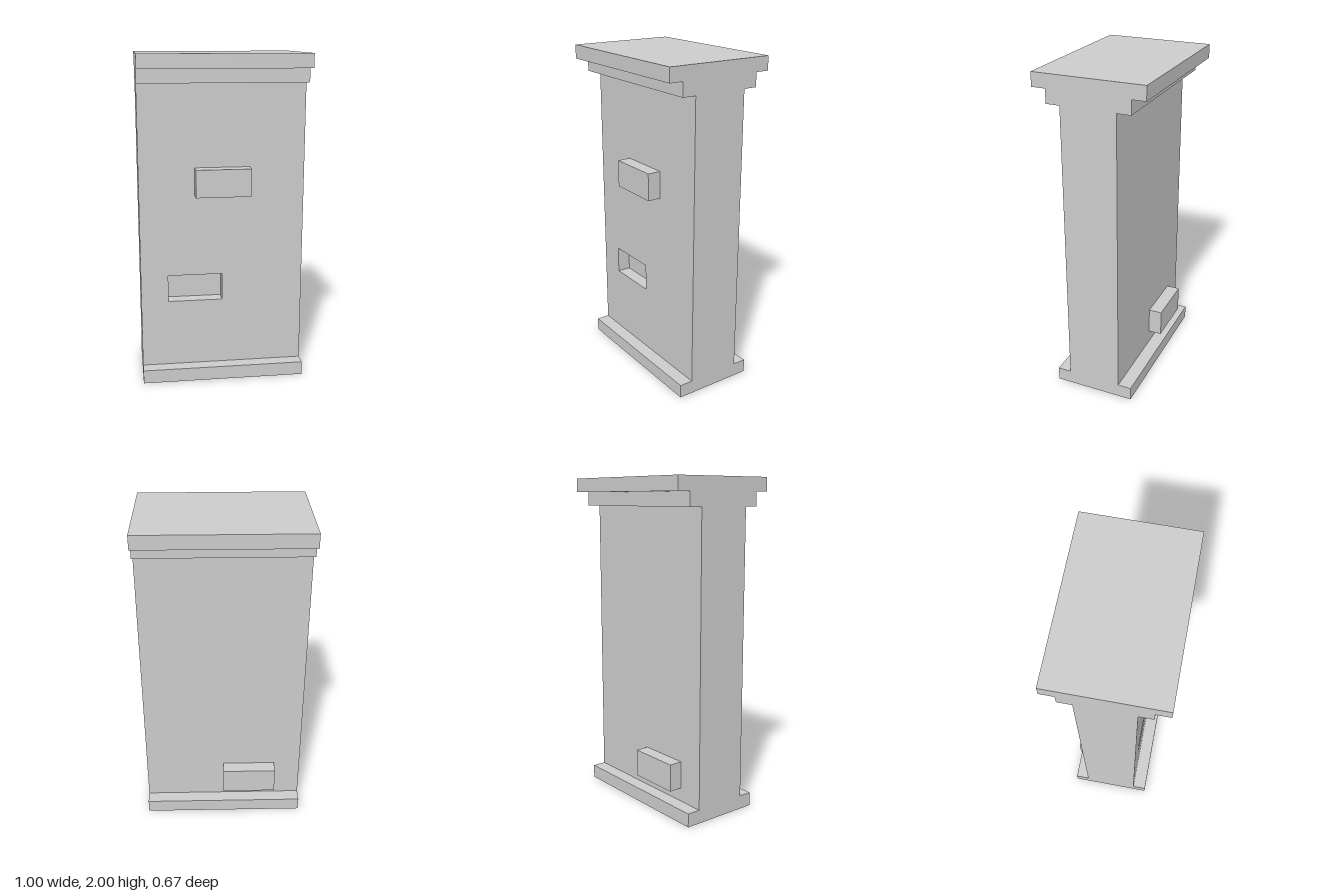
import * as THREE from 'three';

const U = 1 / 12; // module size: every part sits on this grid

export function createModel() {
  const group = new THREE.Group();
  const material = new THREE.MeshStandardMaterial({ color: 0xcccccc, flatShading: true });

  function add(name, geometry) {
    const mesh = new THREE.Mesh(geometry, material);
    mesh.name = name;
    group.add(mesh);
  }

  // Box given by its extents in grid units
  function block(name, [x0, x1], [y0, y1], [z0, z1]) {
    const geometry = new THREE.BoxGeometry((x1 - x0) * U, (y1 - y0) * U, (z1 - z0) * U);
    geometry.translate((x0 + x1) * U / 2, (y0 + y1) * U / 2, (z0 + z1) * U / 2);
    add(name, geometry);
  }

  function rectangle(path, x0, x1, y0, y1) {
    path.moveTo(x0 * U, y0 * U);
    path.lineTo(x1 * U, y0 * U);
    path.lineTo(x1 * U, y1 * U);
    path.lineTo(x0 * U, y1 * U);
    path.closePath();
    return path;
  }

  // Footing and stepped coping
  block('base', [-6, 6], [0, 1], [-3, 3]);
  block('lowerCoping', [-6, 6], [22, 23], [-3, 3]);
  block('upperCoping', [-6, 6], [23, 24], [-4, 4]);

  // Wall: solid rear part and a front layer with a brick-sized recess
  block('wallCore', [-6, 6], [1, 22], [-2, 1]);
  const face = rectangle(new THREE.Shape(), -6, 6, 1, 22);
  face.holes.push(rectangle(new THREE.Path(), -4, 0, 6, 8));
  const front = new THREE.ExtrudeGeometry(face, { depth: U, bevelEnabled: false });
  front.translate(0, 0, U);
  add('wallFront', front);

  // Protruding bricks
  block('frontBrick', [-2, 2], [14, 16], [2, 3]);
  block('backBrick', [-4, 0], [2, 4], [-3, -2]);

  return group;
}
